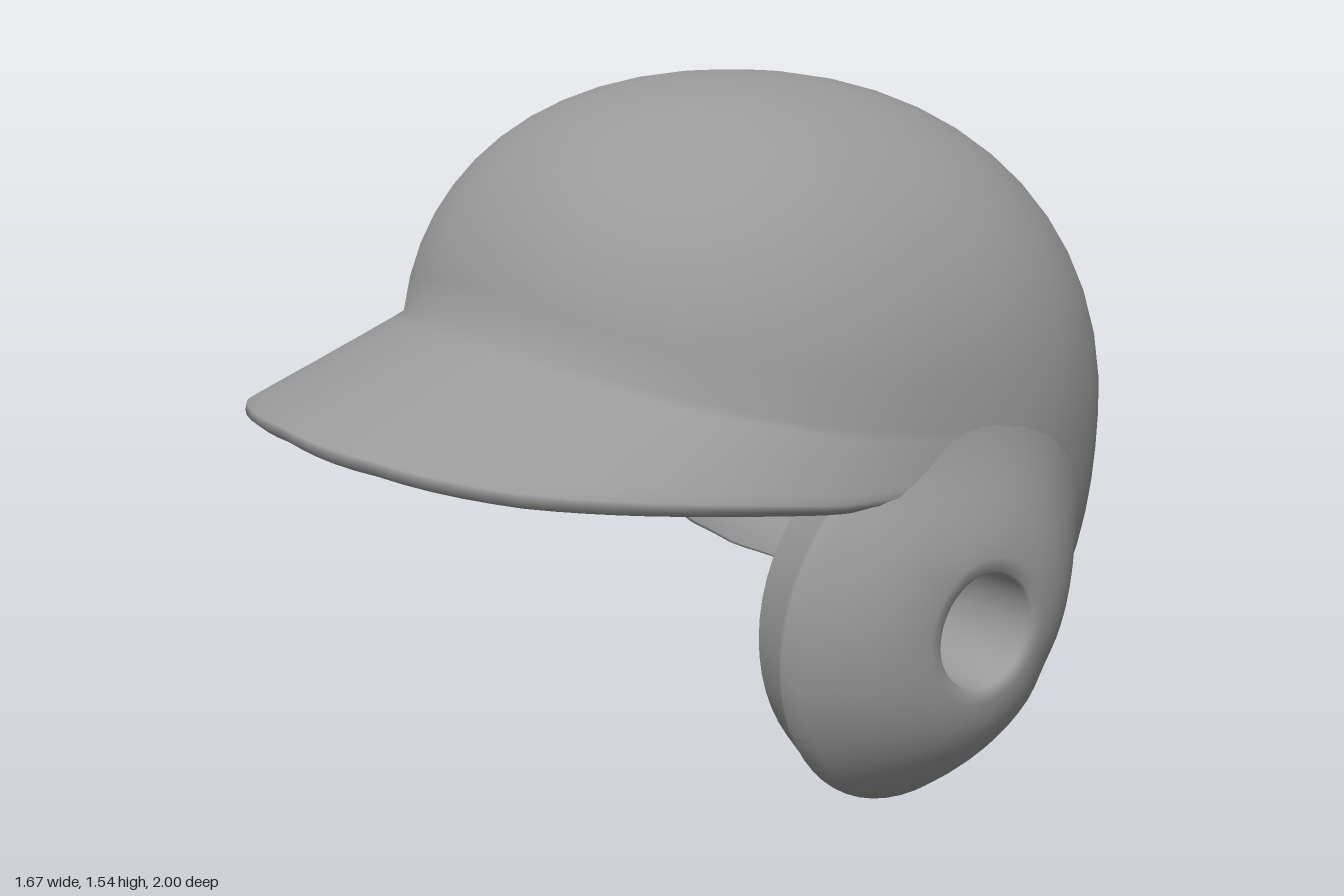
import * as THREE from 'three';
import { mergeVertices, toCreasedNormals } from 'three/addons/utils/BufferGeometryUtils.js';

const { lerp, clamp, smoothstep, radToDeg } = THREE.MathUtils;
const CX = -0.035, CZ = -0.2; // vertical axis of the shell
const BELT = 0.8, HEIGHT = 0.74, P = 2.2; // widest level, crown height and roundness
const HALF = 0.785, FRONT = 0.8, BACK = 0.8, PLAN = 2.25; // plan of the dome

// lookup in a list of [key, value] pairs
function lookup(table, k) {
  let i = 0;
  while (i < table.length - 2 && k > table[i + 1][0]) i++;
  const [k0, v0] = table[i], [k1, v1] = table[i + 1];
  return lerp(v0, v1, clamp((k - k0) / (k1 - k0), 0, 1));
}

// skin a ring of profiles: profile(angle) returns a list of [x, y, z]
function skin(segments, profile) {
  const pos = [], index = [];
  for (let i = 0; i < segments; i++) {
    const column = profile((i / segments) * Math.PI * 2);
    const n = column.length;
    column.forEach((p) => pos.push(...p));
    const next = ((i + 1) % segments) * n;
    for (let j = 0; j < n - 1; j++) {
      const a = i * n + j, b = next + j;
      index.push(a, a + 1, b, b, a + 1, b + 1);
    }
  }
  const g = new THREE.BufferGeometry();
  g.setAttribute('position', new THREE.Float32BufferAttribute(pos, 3));
  g.setIndex(index);
  const merged = mergeVertices(g, 1e-5);
  merged.computeVertexNormals();
  return merged;
}

// polar radius of a superellipse, angle measured from the front
function outline(a, halfWidth, front, back, p) {
  const c = Math.cos(a), depth = c > 0 ? front : back;
  return (Math.abs(Math.sin(a) / halfWidth) ** p + Math.abs(c / depth) ** p) ** (-1 / p);
}

// share of the full dome radius at height y
function girth(y) {
  if (y < BELT) return 1 - 0.53 * (BELT - y) ** 2.5;
  return Math.max(0, 1 - ((y - BELT) / HEIGHT) ** P) ** (1 / P);
}

// the crown leans a little forward
const axisZ = (y) => CZ + 0.06 * Math.max(0, (y - BELT) / HEIGHT);

// x of the dome's left side at a given height and depth
function domeSide(y, z) {
  const g = girth(y);
  return CX + HALF * g * Math.max(0, 1 - Math.abs((z - axisZ(y)) / (BACK * g)) ** PLAN) ** (1 / PLAN);
}

// rim height by degrees from the front, open side and ear guard side
const openRim = [[0, 0.86], [15, 0.847], [30, 0.808], [50, 0.77], [65, 0.74], [80, 0.715], [90, 0.69],
  [95, 0.635], [100, 0.5], [104, 0.385], [108, 0.315], [113, 0.26], [124, 0.19], [135, 0.155], [151, 0.128], [180, 0.11]];
const guardRim = [[0, 0.86], [15, 0.847], [30, 0.808], [50, 0.77], [65, 0.738], [85, 0.73], [92, 0.7], [98, 0.6],
  [103, 0.4], [108, 0.2], [112, 0.13], [120, 0.14], [130, 0.145], [150, 0.135], [180, 0.11]];

function shellProfile(angle) {
  const a = angle > Math.PI ? angle - Math.PI * 2 : angle;
  const front = Math.max(0, Math.cos(a));
  const rim = lookup(a > 0 ? guardRim : openRim, Math.abs(radToDeg(a)));
  const fold = 0.84 + 0.19 * front ** 1.7;
  const dome = outline(a, HALF, FRONT, BACK, PLAN);
  const brim = Math.max(0, outline(a, 0.803, 1.19, 0.8, 2.4) - dome) * smoothstep(Math.cos(a), -0.3, 0.1);

  const outer = [];
  // crown, from the top down to the fold above the brim
  const end = Math.acos(((fold - BELT) / HEIGHT) ** (P / 2));
  for (let i = 0; i <= 12; i++) {
    const t = (end * i) / 12;
    outer.push([dome * Math.sin(t) ** (2 / P), BELT + HEIGHT * Math.cos(t) ** (2 / P)]);
  }
  // brim at the front, neck guard at the back
  for (let i = 1; i <= 9; i++) {
    const s = i / 9, y = lerp(fold, rim, s);
    outer.push([dome * girth(y) + brim * s, y]);
  }
  // inner wall follows the outer one
  const inner = outer.map(([r, y], i) => {
    const crown = Math.max(0, 1 - i / 12);
    const edge = Math.max(0, (i - 12) / 9);
    return [Math.max(0, r - 0.045 * Math.min(1, i / 4)), y - 0.045 * Math.max(crown, front * (0.4 + 0.6 * edge))];
  }).reverse();
  // rounded lip
  const [r0, y0] = outer[outer.length - 1], [r1, y1] = inner[0];
  const lip = [[r0 - 0.01 + 0.016 * front, y0 - 0.008 - 0.01 * front],
    [(r0 + r1) / 2 + 0.008 * front, (y0 + y1) / 2 - 0.014]];

  return [...outer, ...lip, ...inner].map(([r, y]) => [CX + r * Math.sin(a), y, axisZ(y) + r * Math.cos(a)]);
}

// domed ear guard: flat inside, round ear hole, free below and in front, flowing into the shell above and behind
function guardProfile(t) {
  const cy = 0.431, cz = -0.163, hole = 0.125, inside = 0.58, peak = 0.834;
  const deg = radToDeg(t), cos = Math.cos(t), sin = Math.sin(t);
  const joined = deg < 180 ? 1 - smoothstep(deg, 10, 42) : smoothstep(deg, 220, 255);
  const R = 0.43 + joined * (0.03 + 0.06 * Math.max(0, -sin));
  const free = 0.665 + 0.035 * cos + (sin > 0 ? 0.03 : 0.065) * sin;
  const edge = lerp(free, domeSide(cy + R * cos, cz + R * sin) - 0.006, joined);

  const ring = [[hole, inside], [hole, peak - 0.008]];
  for (let i = 0; i <= 12; i++) {
    const s = i / 12, r = lerp(hole + 0.006, R, s);
    const base = lerp(free, domeSide(cy + r * cos, cz + r * sin) - 0.006, joined);
    ring.push([r, lerp(peak, base, lerp(s ** 2.1, smoothstep(s, 0, 1), joined))]);
  }
  ring.push([R - 0.008, edge - lerp(0.02, 0.008, joined)], [0.4, inside], [hole, inside]);
  return ring.map(([r, x]) => [x, cy + r * cos, cz + r * sin]);
}

export function createModel() {
  const group = new THREE.Group();
  group.name = 'battingHelmet';
  const material = new THREE.MeshStandardMaterial({ color: 0x999999, side: THREE.DoubleSide });

  const shell = new THREE.Mesh(skin(120, shellProfile), material);
  shell.name = 'shellWithBrim';

  const guard = new THREE.Mesh(toCreasedNormals(skin(60, guardProfile), 1.3), material);
  guard.name = 'earGuard';

  group.add(shell, guard);
  return group;
}
